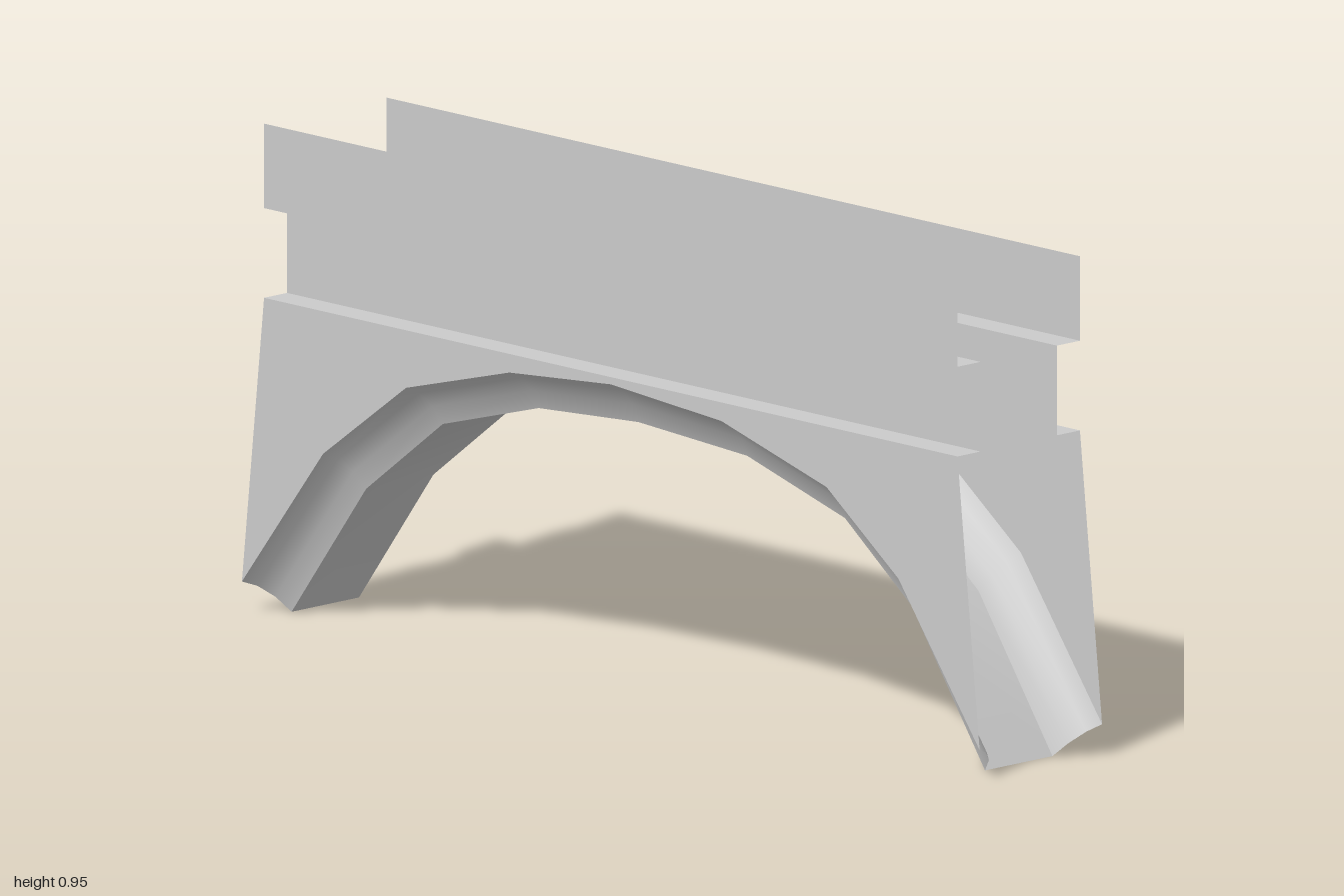
import * as THREE from 'three';

// Arch edges as [z, y]: where the side walls begin, and the lower soffit
const outerArch = [[1, 0.06], [0.78, 0.355], [0.585, 0.5], [0.3, 0.581], [0, 0.603],
  [-0.275, 0.581], [-0.555, 0.506], [-0.78, 0.342], [-1, 0.06]];
const innerArch = [[0.94, 0], [0.74, 0.286], [0.56, 0.425], [0.295, 0.502], [0, 0.519],
  [-0.27, 0.502], [-0.53, 0.429], [-0.738, 0.27], [-0.94, 0]];

const HALF_LENGTH = 0.94;
const OUTER_X = 0.16, RECESS_X = 0.1, SOFFIT_X = 0.088;
const RECESS_Y = 0.617, PARAPET_Y = 0.79, TOP_Y = 0.953;

const material = new THREE.MeshStandardMaterial({ color: 0xcccccc, side: THREE.DoubleSide });

// Open surface lofted through rows of [x, y, z] points
function sheet(name, rows, flip = false) {
  const n = rows[0].length;
  const index = [];
  for (let i = 0; i < rows.length - 1; i++) {
    for (let j = 0; j < n - 1; j++) {
      const a = i * n + j, b = a + 1, c = a + n, d = c + 1;
      if (flip) index.push(a, c, b, b, c, d);
      else index.push(a, b, c, b, d, c);
    }
  }
  const geometry = new THREE.BufferGeometry();
  geometry.setAttribute('position', new THREE.Float32BufferAttribute(rows.flat(2), 3));
  geometry.setIndex(index);
  geometry.computeVertexNormals();
  const mesh = new THREE.Mesh(geometry, material);
  mesh.name = name;
  return mesh;
}

// Straight row along the bridge
const rail = (x, y) => [[x, y, HALF_LENGTH], [x, y, -HALF_LENGTH]];

// Row along the arch, f = 0 on the soffit edge and 1 on the wall edge
const archRow = (x, f) => innerArch.map(([z, y], i) => [
  x,
  THREE.MathUtils.lerp(y, outerArch[i][1], f),
  THREE.MathUtils.lerp(z, outerArch[i][0], f),
]);

export function createModel() {
  const model = new THREE.Group();
  model.name = 'archBridge';

  // Underside of the arch
  model.add(sheet('archSoffit', [archRow(-SOFFIT_X, 0), archRow(SOFFIT_X, 0)]));

  for (const s of [1, -1]) {
    const side = new THREE.Group();
    side.name = s > 0 ? 'leftSide' : 'rightSide';
    const flip = s < 0;

    // Concave moulding between soffit and wall
    const cove = [[SOFFIT_X, 0], [0.104, 0.45], [0.13, 0.81], [OUTER_X, 1]];
    side.add(sheet('archCove', cove.map(([x, f]) => archRow(s * x, f)), flip));

    // Spandrel wall from the arch up to the recess
    const wallTop = outerArch.map(([z]) => [s * OUTER_X, RECESS_Y, z * HALF_LENGTH]);
    side.add(sheet('spandrelWall', [archRow(s * OUTER_X, 1), wallTop], flip));

    // Recessed band and parapet, each a flat strip
    const strips = [
      ['lowerLedge', OUTER_X, RECESS_Y, RECESS_X, RECESS_Y],
      ['recessedWall', RECESS_X, RECESS_Y, RECESS_X, PARAPET_Y],
      ['upperLedge', RECESS_X, PARAPET_Y, OUTER_X, PARAPET_Y],
      ['parapet', OUTER_X, PARAPET_Y, OUTER_X, TOP_Y],
    ];
    for (const [name, x0, y0, x1, y1] of strips) {
      side.add(sheet(name, [rail(s * x0, y0), rail(s * x1, y1)], flip));
    }
    model.add(side);
  }
  return model;
}
